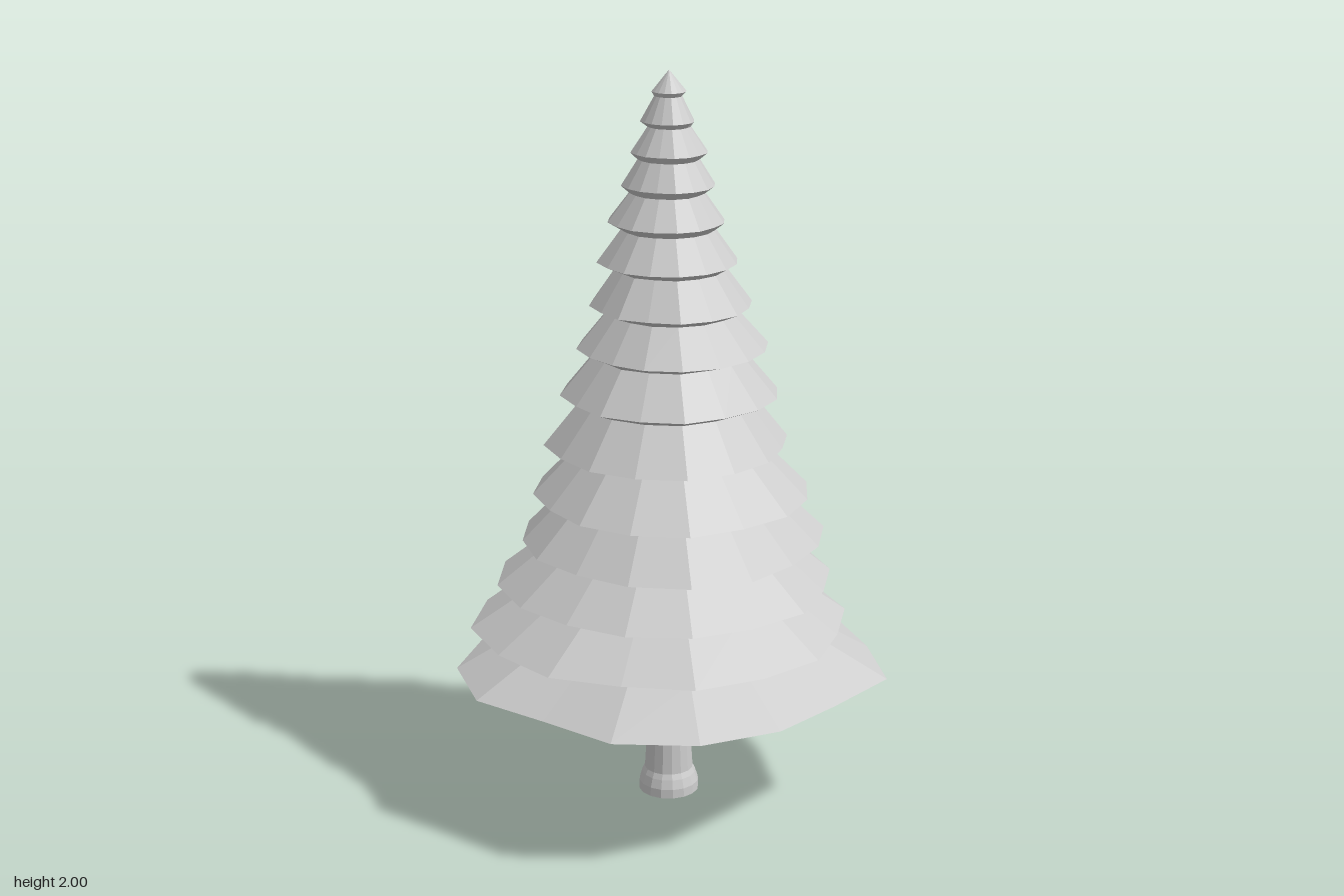
import * as THREE from 'three';

const SIDES = 16;
const AXIS_X = 0.01, AXIS_Z = -0.012;

// Rim radii of the lowest tier, stepping from +x towards +z
const SKIRT = [0.555, 0.605, 0.545, 0.563, 0.578, 0.58, 0.535, 0.585,
  0.58, 0.535, 0.587, 0.567, 0.556, 0.553, 0.594, 0.555];

// Other tiers: rim height, then extent to +x, -x, +z, -z
const TIERS = [
  [0.505, 0.50, 0.53, 0.485, 0.525],
  [0.625, 0.455, 0.455, 0.43, 0.48],
  [0.75, 0.435, 0.385, 0.41, 0.415],
  [0.88, 0.385, 0.355, 0.385, 0.365],
  [1.015, 0.33, 0.325, 0.335, 0.325],
  [1.15, 0.30, 0.28, 0.285, 0.30],
  [1.275, 0.275, 0.235, 0.245, 0.26],
  [1.39, 0.23, 0.20, 0.21, 0.225],
  [1.505, 0.19, 0.18, 0.18, 0.185],
  [1.61, 0.155, 0.15, 0.145, 0.16],
  [1.705, 0.13, 0.115, 0.115, 0.13],
  [1.79, 0.11, 0.09, 0.09, 0.11],
  [1.87, 0.075, 0.065, 0.065, 0.075],
  [1.945, 0.055, 0.035, 0.035, 0.055],
];

// Small seeded generator for uneven branch tips
function seeded(seed) {
  return () => (seed = (seed * 16807) % 2147483647) / 2147483647;
}

// A closed ring of points about the tree's axis
function ring(y, radiusAt) {
  return Array.from({ length: SIDES }, (_, k) => {
    const a = (k / SIDES) * Math.PI * 2, r = radiusAt(k);
    return [AXIS_X + Math.cos(a) * r, y, AXIS_Z + Math.sin(a) * r];
  });
}

// Skin a stack of rings, bottom to top; the first and last are single points
function loft(rings) {
  const positions = [];
  for (let i = 0; i < rings.length - 1; i++) {
    for (let k = 0; k < SIDES; k++) {
      const n = (k + 1) % SIDES;
      const [a, b, c, d] = [rings[i][k], rings[i + 1][k], rings[i + 1][n], rings[i][n]];
      if (i > 0) positions.push(...a, ...b, ...d);
      if (i < rings.length - 2) positions.push(...b, ...c, ...d);
    }
  }
  const geometry = new THREE.BufferGeometry();
  geometry.setAttribute('position', new THREE.Float32BufferAttribute(positions, 3));
  geometry.computeVertexNormals();
  return geometry;
}

const average = (radii) => radii.reduce((sum, r) => sum + r, 0) / radii.length;

// Zigzag foliage: each tier slopes inwards, then overhangs with the next rim
function foliageGeometry() {
  const random = seeded(4217);
  const rings = [ring(0.372, () => 0), ring(0.39, (k) => SKIRT[k])];
  let below = SKIRT;
  for (const [y, right, left, front, back] of TIERS) {
    const radii = SKIRT.map((_, k) => {
      const a = (k / SIDES) * Math.PI * 2, c = Math.cos(a), s = Math.sin(a);
      const x = c > 0 ? right - AXIS_X : left + AXIS_X;
      const z = s > 0 ? front - AXIS_Z : back + AXIS_Z;
      const jitter = k % 4 ? 0.95 + random() * 0.06 : 1;
      return (x * c * c + z * s * s) * jitter;
    });
    const mean = average(radii);
    const drop = Math.min(0.02, mean * 0.12 + 0.006);
    const shrink = 0.8 * mean / average(below);
    const lower = below;
    rings.push(ring(y - drop, (k) => lower[k] * shrink));
    rings.push(ring(y, (k) => radii[k]));
    below = radii;
  }
  rings.push(ring(2, () => 0));
  return loft(rings);
}

// Tapered trunk with a flared foot
function trunkGeometry() {
  const profile = [[0, 0], [0.083, 0], [0.082, 0.025], [0.074, 0.05],
    [0.067, 0.065], [0.058, 0.21], [0.05, 0.375], [0, 0.385]];
  return loft(profile.map(([r, y]) => ring(y, () => r)));
}

export function createModel() {
  const tree = new THREE.Group();
  tree.name = 'tieredTree';
  const paleGrey = new THREE.MeshStandardMaterial({ color: 0xcccccc });
  paleGrey.name = 'paleGrey';

  const trunk = new THREE.Mesh(trunkGeometry(), paleGrey);
  trunk.name = 'trunk';
  const foliage = new THREE.Mesh(foliageGeometry(), paleGrey);
  foliage.name = 'foliage';

  tree.add(trunk, foliage);
  return tree;
}
